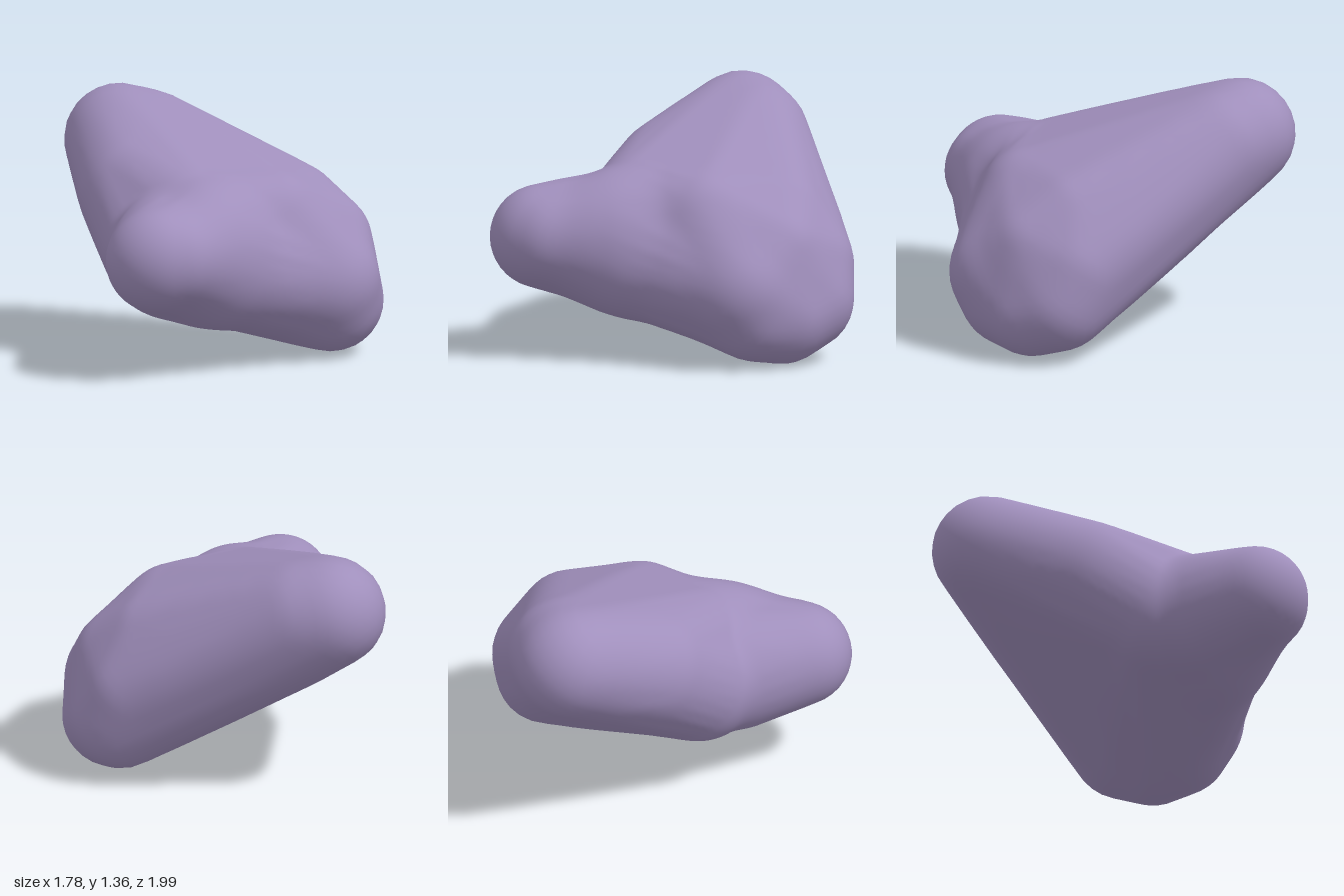
import * as THREE from 'three';
import { mergeVertices } from 'three/addons/utils/BufferGeometryUtils.js';

// Shared point inside every hull; the surface is a radius along each direction from here
const origin = new THREE.Vector3(-0.08, 0.65, 0.08);

// Each ball is [x, y, z, radius]; a hull is the tight skin around its balls
const slabBalls = [
  [-0.6, 1.06, -0.7, 0.3], [-0.45, 1.03, -0.69, 0.3],    // high back corner
  [0.36, 0.73, -0.4, 0.28], [0.55, 0.6, -0.3, 0.27],     // upper side corner
  [0.3, 0.75, -0.02, 0.28],                              // upper front shoulder
  [0.45, 0.5, -0.5, 0.3], [0.55, 0.33, -0.47, 0.28],     // back side corner
  [0.6, 0.28, -0.32, 0.28], [0.6, 0.3, -0.15, 0.265],    // low side corner
  [0.57, 0.42, -0.11, 0.31],
  [-0.42, 0.85, -0.2, 0.33],                             // left flank
  [-0.26, 0.63, 0.12, 0.33], [-0.1, 0.72, 0.13, 0.35],   // middle, under the knob
];
const knobBalls = [
  [-0.05, 0.62, 0.36, 0.36], [-0.16, 0.62, 0.36, 0.35],
  [-0.2, 0.65, 0.715, 0.28], [-0.13, 0.65, 0.7, 0.26],
];
// Web that fills the hollow between the knob and the side corner
const webBalls = [
  [0.3, 0.73, -0.05, 0.26], [0.56, 0.42, -0.09, 0.29], [0.59, 0.3, -0.16, 0.25],
  [0.12, 0.53, 0.24, 0.32], [-0.05, 0.62, 0.33, 0.35], [-0.2, 0.58, 0.15, 0.3],
];

function sphereDirections(detail) {
  const g = new THREE.IcosahedronGeometry(1, detail);
  g.deleteAttribute('normal');
  g.deleteAttribute('uv');
  return mergeVertices(g, 1e-5);
}

// Bounding planes of a hull: how far it reaches along each normal
function hullPlanes(balls, normals) {
  return normals.map((n) => Math.max(...balls.map(([x, y, z, r]) =>
    (x - origin.x) * n.x + (y - origin.y) * n.y + (z - origin.z) * n.z + r)));
}

function hullRadius(dir, normals, reach) {
  let best = Infinity;
  for (let i = 0; i < normals.length; i++) {
    const c = normals[i].dot(dir);
    if (c > 0.05) best = Math.min(best, reach[i] / c);
  }
  return best;
}

// Larger of two radii, with a soft fillet of width k
function softMax(a, b, k) {
  const h = Math.max(k - Math.abs(a - b), 0) / k;
  return Math.max(a, b) + h * h * k * 0.25;
}

export function createModel() {
  const group = new THREE.Group();
  group.name = 'boulder';
  const stone = new THREE.MeshStandardMaterial({ color: 0xa08fbc });
  stone.name = 'mauve stone';

  const samples = sphereDirections(27).getAttribute('position');
  const normals = [];
  for (let i = 0; i < samples.count; i++) {
    normals.push(new THREE.Vector3().fromBufferAttribute(samples, i));
  }
  const [slab, web, knob] = [slabBalls, webBalls, knobBalls].map((b) => hullPlanes(b, normals));

  // Push a sphere out to the blended slab, web and front knob
  const geometry = sphereDirections(23);
  const pos = geometry.getAttribute('position');
  const dir = new THREE.Vector3();
  for (let i = 0; i < pos.count; i++) {
    dir.fromBufferAttribute(pos, i).normalize();
    // sharp valley on one side of the knob, soft on the other
    const k = THREE.MathUtils.lerp(0.05, 0.2, THREE.MathUtils.smoothstep(dir.x, -0.4, 0.5));
    const body = softMax(hullRadius(dir, normals, slab), hullRadius(dir, normals, web), 0.08);
    const r = softMax(body, hullRadius(dir, normals, knob), k);
    dir.multiplyScalar(r).add(origin);
    pos.setXYZ(i, dir.x, dir.y, dir.z);
  }
  geometry.computeVertexNormals();

  const mesh = new THREE.Mesh(geometry, stone);
  mesh.name = 'boulderBody';
  group.add(mesh);

  // Stand it on the ground
  geometry.computeBoundingBox();
  mesh.position.y = -geometry.boundingBox.min.y;
  return group;
}
